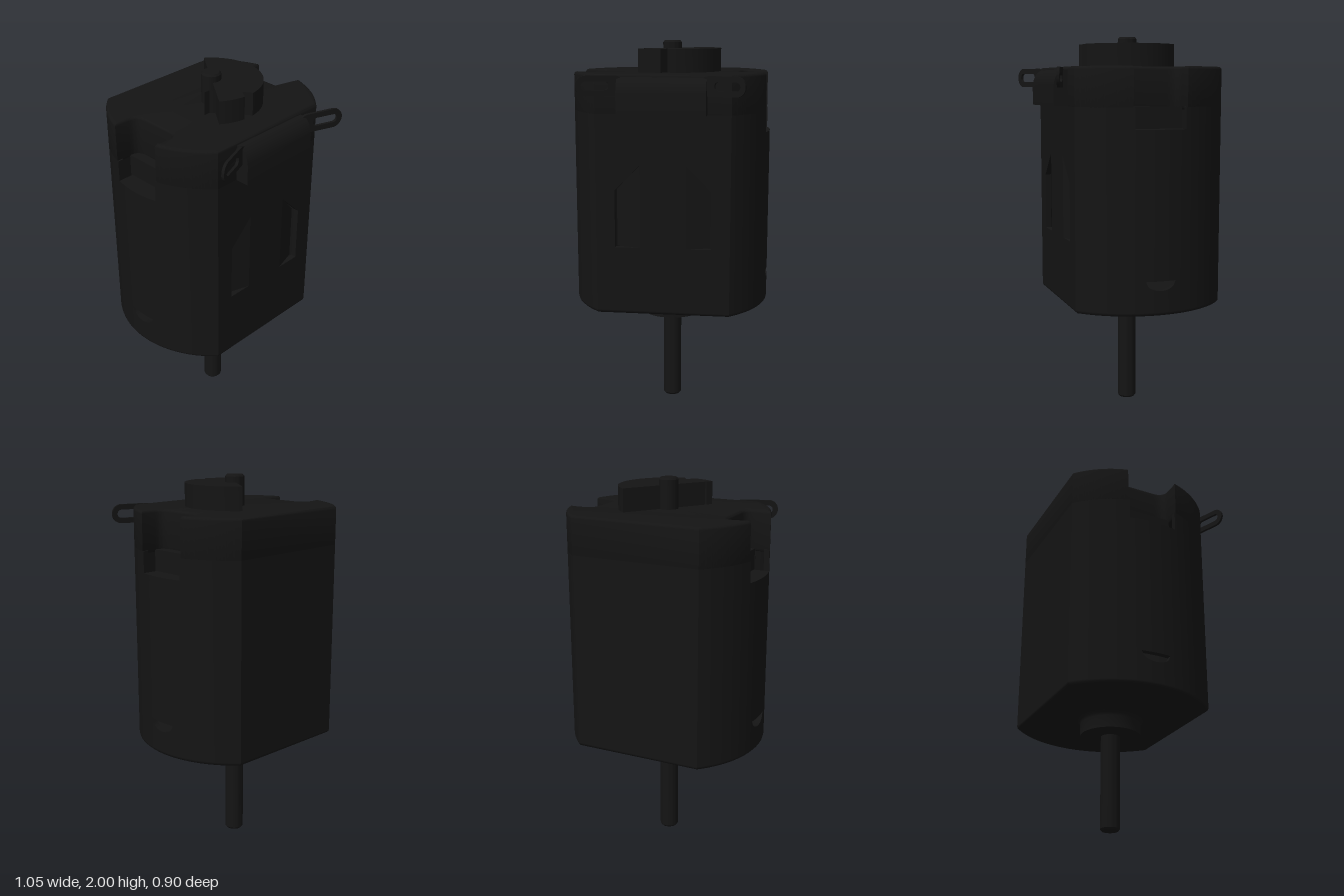
import * as THREE from 'three';
import { toCreasedNormals } from 'three/addons/utils/BufferGeometryUtils.js';

const R = 0.527, FLAT = 0.397, WALL = 0.03, AXIS_Z = -0.055;
const A0 = Math.acos(FLAT / R), CORNER = R * Math.sin(A0);
const ARC = Math.PI / 2 - A0; // angle where the round side meets a flat
const NOTCH = 0.135, HOLE = 0.08, RIM = 1.64;

const black = new THREE.MeshStandardMaterial({ color: 0x141414 });

function part(name, geometry, parent) {
  const mesh = new THREE.Mesh(toCreasedNormals(geometry, 0.6), black);
  mesh.name = name;
  parent.add(mesh);
  return mesh;
}

// Horizontal plate between two heights; shape y points to the back
function plate(shape, y0, y1, bevel = 0) {
  const g = new THREE.ExtrudeGeometry(shape, {
    depth: y1 - y0 - 2 * bevel, curveSegments: 28, bevelEnabled: bevel > 0,
    bevelSize: bevel, bevelThickness: bevel, bevelOffset: -bevel, bevelSegments: 3,
  });
  return g.rotateX(-Math.PI / 2).translate(0, y0 + bevel, 0);
}

function polygon(points) {
  return new THREE.Shape(points.map(([x, y]) => new THREE.Vector2(x, y)));
}

// Closed solid through a row of equal cross-sections
function loft(rings) {
  const n = rings[0].length, index = [], last = (rings.length - 1) * n;
  for (let i = 0; i < rings.length - 1; i++) {
    for (let j = 0; j < n; j++) {
      const a = i * n + j, b = i * n + (j + 1) % n;
      index.push(a, b, b + n, a, b + n, a + n);
    }
  }
  for (let j = 1; j < n - 1; j++) index.push(0, j + 1, j, last, last + j, last + j + 1);
  const g = new THREE.BufferGeometry();
  g.setAttribute('position', new THREE.Float32BufferAttribute(rings.flat(2), 3));
  g.setIndex(index);
  return g;
}

// Piece of the round wall from z0 to z1, with lower and upper edge as functions of z
function wallPiece(z0, z1, low, high, thickness = WALL) {
  const rings = [], steps = 14;
  for (let i = 0; i <= steps; i++) {
    const z = z0 + (z1 - z0) * i / steps;
    const xo = Math.sqrt(R * R - z * z), xi = xo - thickness;
    rings.push([[xo, low(z), z], [xo, high(z), z], [xi, high(z), z], [xi, low(z), z]]);
  }
  return loft(rings);
}

// Round outline with two flats, optionally with the side notches
function outline(notched) {
  const s = new THREE.Shape(), h = NOTCH + 0.008, an = Math.asin(h / R);
  s.moveTo(CORNER, FLAT);
  [1, -1].forEach((m, k) => {
    const t = k * Math.PI;
    if (notched) {
      s.absarc(0, 0, R, t + ARC, t + an, true);
      s.lineTo(m * 0.425, m * h);
      s.quadraticCurveTo(m * 0.37, m * h, m * 0.37, m * (h - 0.055));
      s.lineTo(m * 0.37, -m * (h - 0.055));
      s.quadraticCurveTo(m * 0.37, -m * h, m * 0.425, -m * h);
      s.absarc(0, 0, R, t - an, t - ARC, true);
    } else s.absarc(0, 0, R, t + ARC, t - ARC, true);
  });
  s.closePath();
  return s;
}

function buildCan() {
  const can = new THREE.Group();
  can.name = 'can';
  part('canFloor', plate(outline(false), 0.59, 0.63, 0.02), can);

  // Round sides with a half-moon vent below and a pocket above
  const bottom = () => 0.61, rim = () => RIM, pocket = () => 1.53, ventTop = () => 0.77;
  const ventBottom = z => 0.77 - 0.05 * Math.sqrt(Math.max(0, 1 - (z / HOLE) ** 2));
  for (const turn of [0, Math.PI]) {
    const side = new THREE.Group();
    side.name = turn ? 'rightWall' : 'leftWall';
    side.rotation.y = turn;
    part('wallBack', wallPiece(-FLAT, -NOTCH, bottom, rim), side);
    part('wallFront', wallPiece(NOTCH, FLAT, bottom, rim), side);
    part('wallBesideVentBack', wallPiece(-NOTCH, -HOLE, bottom, pocket), side);
    part('wallBesideVentFront', wallPiece(HOLE, NOTCH, bottom, pocket), side);
    part('wallBelowVent', wallPiece(-HOLE, HOLE, bottom, ventBottom), side);
    part('wallAboveVent', wallPiece(-HOLE, HOLE, ventTop, pocket), side);
    part('pocketFloor', wallPiece(-NOTCH, NOTCH, () => 1.5, pocket, 0.13), side);
    part('pocketBack', new THREE.BoxGeometry(0.075, RIM - 1.5, 2 * NOTCH + 0.02)
      .translate(0.3875, (RIM + 1.5) / 2, 0), side);
    can.add(side);
  }

  // Flat back
  part('backWall', new THREE.BoxGeometry(2 * CORNER, RIM - 0.61, WALL)
    .translate(0, (RIM + 0.61) / 2, -FLAT + WALL / 2), can);

  // Flat front with two cut-out flaps bent inwards
  const front = polygon([[-CORNER, 0.61], [CORNER, 0.61], [CORNER, RIM], [-CORNER, RIM]]);
  const flap = [[0.12, 0.95], [0.25, 0.95], [0.25, 1.25], [0.12, 1.38]];
  const flat = { depth: WALL, bevelEnabled: false };
  for (const s of [1, -1]) {
    front.holes.push(polygon(flap.map(([x, y]) => [s * x, y])));
    const g = new THREE.ExtrudeGeometry(polygon(flap.map(([x, y]) => [s * (x - 0.12), y])), flat);
    const mesh = part(s > 0 ? 'leftFlap' : 'rightFlap', g.translate(0, 0, -WALL), can);
    mesh.position.set(s * 0.12, 0, FLAT);
    mesh.rotation.y = s * 0.3;
  }
  part('frontWall', new THREE.ExtrudeGeometry(front, flat).translate(0, 0, FLAT - WALL), can);
  return can;
}

function buildEndCap() {
  const cap = new THREE.Group();
  cap.name = 'endCap';
  part('capBody', plate(outline(true), RIM - 0.015, 1.84, 0.015), cap);

  // Bearing housing: flat at the back, small V notch in front, slot beside the bearing
  const r = 0.26, a = Math.asin(0.21 / r), v = 0.11, q = Math.PI / 2;
  const boss = new THREE.Shape();
  boss.moveTo(r * Math.cos(a), 0.21);
  boss.absarc(0, 0, r, a, -q + v, true);
  boss.lineTo(0, -0.215);
  boss.absarc(0, 0, r, -q - v, -Math.PI - a + 2 * (a - q) + 2 * q - Math.PI + Math.PI, true);
  boss.closePath();
  const slot = new THREE.Path(), b = Math.atan2(0.09, 0.1);
  slot.moveTo(-0.135, -0.09);
  slot.lineTo(-0.135, -0.175);
  slot.lineTo(0.135, -0.175);
  slot.lineTo(0.135, -0.09);
  slot.absarc(0, 0, 0.135, -b, -Math.PI + b, true);
  slot.closePath();
  boss.holes.push(slot);
  part('bearingHousing', plate(boss, 1.83, 1.96), cap);
  return cap;
}

function buildTerminals() {
  const group = new THREE.Group();
  group.name = 'terminals';

  // Block with a sloping, rounded upper edge
  const profile = new THREE.Shape();
  profile.moveTo(0.32, 1.64);
  profile.lineTo(0.415, 1.64);
  profile.lineTo(0.415, 1.74);
  profile.quadraticCurveTo(0.41, 1.8, 0.37, 1.825);
  profile.lineTo(0.32, 1.825);
  profile.closePath();
  part('terminalBlock', new THREE.ExtrudeGeometry(profile, { depth: 0.45, bevelEnabled: false })
    .rotateY(-Math.PI / 2).translate(0.225, 0, 0), group);

  // Flat eyelets
  const tab = (path, x0, x1, h) => {
    path.moveTo(x0, -h);
    path.lineTo(x1, -h);
    path.absarc(x1, 0, h, -Math.PI / 2, Math.PI / 2, false);
    path.lineTo(x0, h);
    path.absarc(x0, 0, h, Math.PI / 2, Math.PI * 1.5, false);
    return path;
  };
  const eyelet = tab(new THREE.Shape(), 0.02, 0.164, 0.05);
  eyelet.holes.push(tab(new THREE.Path(), 0.07, 0.164, 0.022));
  for (const s of [1, -1]) {
    const g = new THREE.ExtrudeGeometry(eyelet, { depth: 0.014, bevelEnabled: false, curveSegments: 12 });
    const mesh = part(s > 0 ? 'leftTerminal' : 'rightTerminal', g.translate(0, 0, -0.007), group);
    mesh.position.set(s * 0.22, 1.785, 0.37);
    mesh.rotation.y = s > 0 ? -0.355 : Math.PI + 0.355;
  }
  return group;
}

export function createModel() {
  const model = new THREE.Group();
  model.name = 'electricMotor';

  // Everything round shares one upright axis
  const core = new THREE.Group();
  core.name = 'core';
  core.position.z = AXIS_Z;
  core.add(buildCan(), buildEndCap());

  const turned = points => new THREE.LatheGeometry(points.map(([x, y]) => new THREE.Vector2(x, y)), 40);
  part('shaft', turned([[0, 0], [0.042, 0], [0.05, 0.01], [0.05, 1.99], [0.042, 2], [0, 2]]), core);
  part('lowerBearing', turned([[0, 0.5], [0.16, 0.5], [0.16, 0.565], [0.165, 0.58], [0.18, 0.592], [0, 0.6]]), core);

  model.add(core, buildTerminals());
  return model;
}
